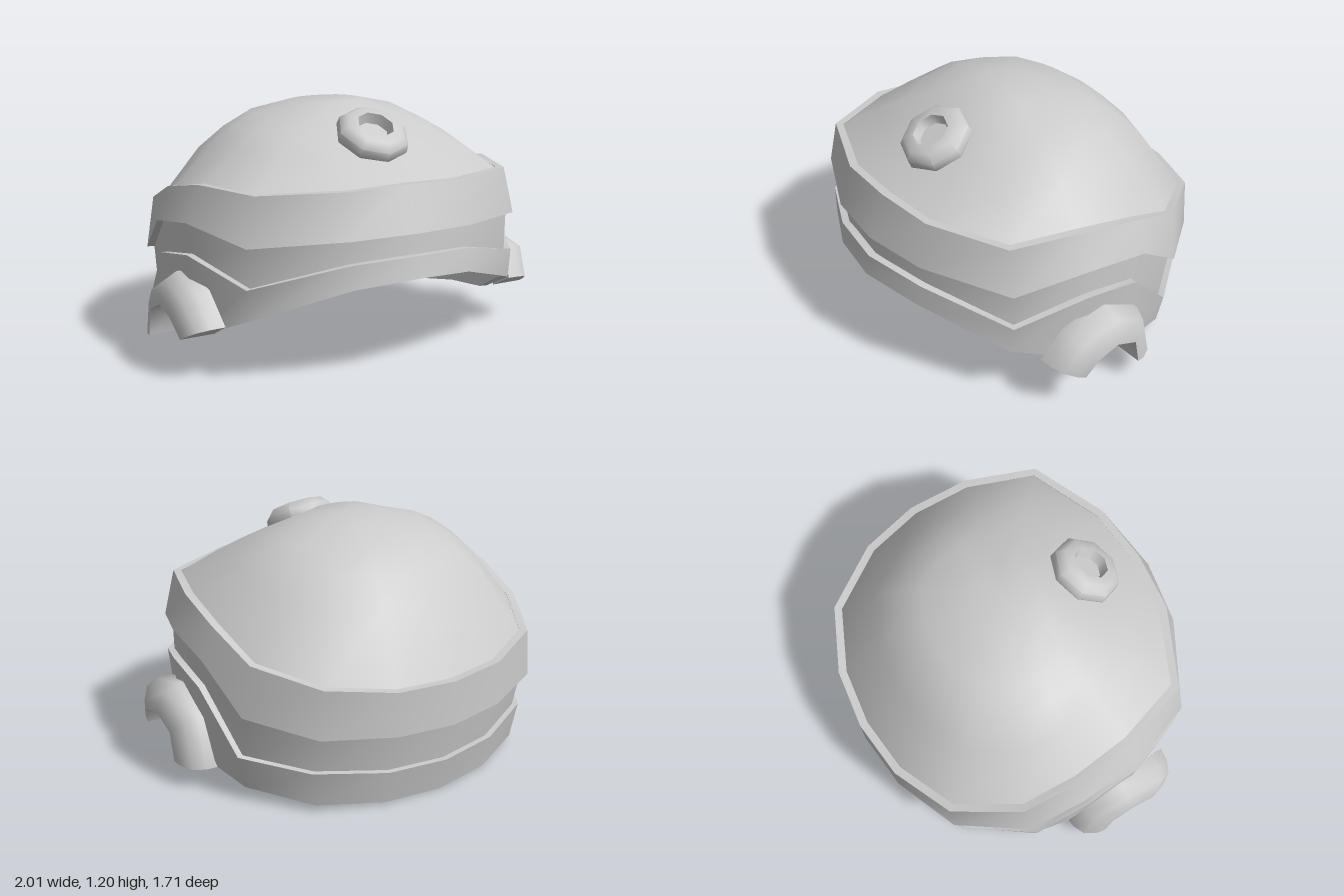
import * as THREE from 'three';
import { toCreasedNormals } from 'three/addons/utils/BufferGeometryUtils.js';

// Edges of the bands: half outlines [x, y, z] from front centre round to back centre
const UPPER_TOP = [[0, 0.9, 0.74], [0.3, 0.89, 0.715], [0.68, 0.88, 0.545], [0.8, 0.88, 0.2],
  [0.83, 0.82, -0.1], [0.8, 0.71, -0.38], [0.61, 0.65, -0.68], [0.3, 0.61, -0.82], [0, 0.6, -0.855]];
const UPPER_BOTTOM = [[0, 0.69, 0.825], [0.32, 0.68, 0.775], [0.73, 0.65, 0.565], [0.87, 0.71, 0.21],
  [0.89, 0.66, -0.1], [0.845, 0.46, -0.37], [0.63, 0.41, -0.68], [0.3, 0.39, -0.82], [0, 0.38, -0.855]];
const LOWER_TOP = [[0, 0.59, 0.84], [0.32, 0.57, 0.775], [0.73, 0.46, 0.56], [0.87, 0.56, 0.22],
  [0.89, 0.51, -0.06], [0.845, 0.24, -0.32], [0.635, 0.22, -0.62], [0.31, 0.19, -0.77], [0, 0.18, -0.81]];
const LOWER_BOTTOM = [[0, 0.49, 0.86], [0.31, 0.46, 0.79], [0.71, 0.32, 0.57], [0.845, 0.16, 0.22],
  [0.86, 0.12, -0.07], [0.81, 0.075, -0.32], [0.605, 0.04, -0.6], [0.3, 0.015, -0.73], [0, 0.005, -0.765]];

const material = new THREE.MeshStandardMaterial({ color: 0xcccccc, side: THREE.DoubleSide });

// Skin between successive rows of points, leaving out collapsed triangles
function loft(rings) {
  const out = [];
  const tri = (...p) => {
    const [a, b, c] = p.map((q) => new THREE.Vector3(...q));
    if (b.sub(a).cross(c.sub(a)).length() > 1e-7) out.push(...p.flat());
  };
  for (let i = 0; i < rings.length - 1; i++) {
    for (let j = 0; j < rings[i].length - 1; j++) {
      const a = rings[i][j], b = rings[i][j + 1], c = rings[i + 1][j + 1], d = rings[i + 1][j];
      tri(a, b, c);
      tri(a, c, d);
    }
  }
  const g = new THREE.BufferGeometry();
  g.setAttribute('position', new THREE.Float32BufferAttribute(out, 3));
  return toCreasedNormals(g, 1);
}

// Full mirrored ring from a half edge, moved inward and up
function ring(edge, inset = 0, dy = 0) {
  const half = edge.map(([x, y, z]) => {
    const k = 1 - inset / Math.hypot(x, z);
    return [x * k, y + dy, z * k];
  });
  const mirrored = half.slice(0, -1).reverse().map(([x, y, z]) => [-x, y, z]);
  return [...half, ...mirrored];
}

function addMesh(parent, name, geometry) {
  const mesh = new THREE.Mesh(geometry, material);
  mesh.name = name;
  parent.add(mesh);
  return mesh;
}

// Closed band with wall thickness, set in from its edges
function band(bottom, top, inset = 0, dyBottom = 0, dyTop = 0) {
  const thick = inset + 0.04;
  return loft([
    ring(bottom, inset, dyBottom),
    ring(top, inset, dyTop),
    ring(top, thick, dyTop),
    ring(bottom, thick, dyBottom),
    ring(bottom, inset, dyBottom),
  ]);
}

// Dome rising from the upper band's inner edge: round at the back, a straight slope in front
function dome() {
  const rim = ring(UPPER_TOP, 0.038, -0.005);
  const steps = [1, 0.77, 0.62, 0.48, 0.22, 0];
  return loft(steps.map((s) => rim.map(([x, y, z]) => {
    const front = Math.max(0, z / Math.hypot(x, z)) ** 0.7;
    const rise = THREE.MathUtils.lerp(1 - s ** 2.75, Math.min(1, (1 - s) / 0.78), front);
    return [x * s, y + (1.203 - y) * rise, z * s];
  })));
}

// Hollow arched ear cover, on the +x side
function earCover() {
  const outer = [[-0.13, 0.11], [-0.07, 0.36], [0.13, 0.47], [0.36, 0.42], [0.46, 0.27]];
  const inner = [[0.01, 0.13], [0.04, 0.27], [0.16, 0.325], [0.28, 0.3], [0.33, 0.2]];
  // Distance out from the helmet, and blend from outer to inner arch
  const sections = [[0.82, 0], [0.89, 0.04], [0.95, 0.25], [0.985, 0.7], [0.99, 1], [0.82, 1],
    [0.82, 0]];
  // The front leg leans in with the shell
  const lean = [0, 0, 0, 0, 0.03];
  const rows = sections.map(([x, t]) => outer.map(([z, y], j) => [
    x - lean[j],
    THREE.MathUtils.lerp(y, inner[j][1], t),
    THREE.MathUtils.lerp(z, inner[j][0], t),
  ]));
  // Collapsed end columns close the two legs
  const centre = (j) => [0.9, (outer[j][1] + inner[j][1]) / 2, (outer[j][0] + inner[j][0]) / 2];
  return loft(rows.map((r) => [centre(0), ...r, centre(4)]));
}

// Octagonal knob with a recessed centre
function knob() {
  const profile = [[0.15, -0.07], [0.18, -0.02], [0.175, 0.02], [0.14, 0.055],
    [0.09, 0.06], [0.075, 0.01], [0, 0.01]].map(([r, y]) => new THREE.Vector2(r, y));
  return toCreasedNormals(new THREE.LatheGeometry(profile, 8), 0.9);
}

export function createModel() {
  const model = new THREE.Group();
  model.name = 'helmet';
  const body = new THREE.Group();
  body.name = 'helmetBody';
  body.rotation.y = -0.06;
  model.add(body);

  addMesh(body, 'dome', dome());
  addMesh(body, 'upperBand', band(UPPER_BOTTOM, UPPER_TOP));
  addMesh(body, 'middleBand', band(LOWER_TOP, UPPER_BOTTOM, 0.035, -0.03, 0.01));
  addMesh(body, 'lowerBand', band(LOWER_BOTTOM, LOWER_TOP));

  // Ear covers, mirrored; the left one sits slightly further out
  for (const [name, side, x] of [['leftEarCover', 1, 0.015], ['rightEarCover', -1, 0]]) {
    const ear = addMesh(body, name, earCover());
    ear.scale.x = side;
    ear.position.x = x;
  }

  // Knob tilted onto the front of the dome
  const top = addMesh(body, 'knob', knob());
  top.position.set(0, 1.08, 0.42);
  top.rotation.x = Math.PI / 6;
  return model;
}
